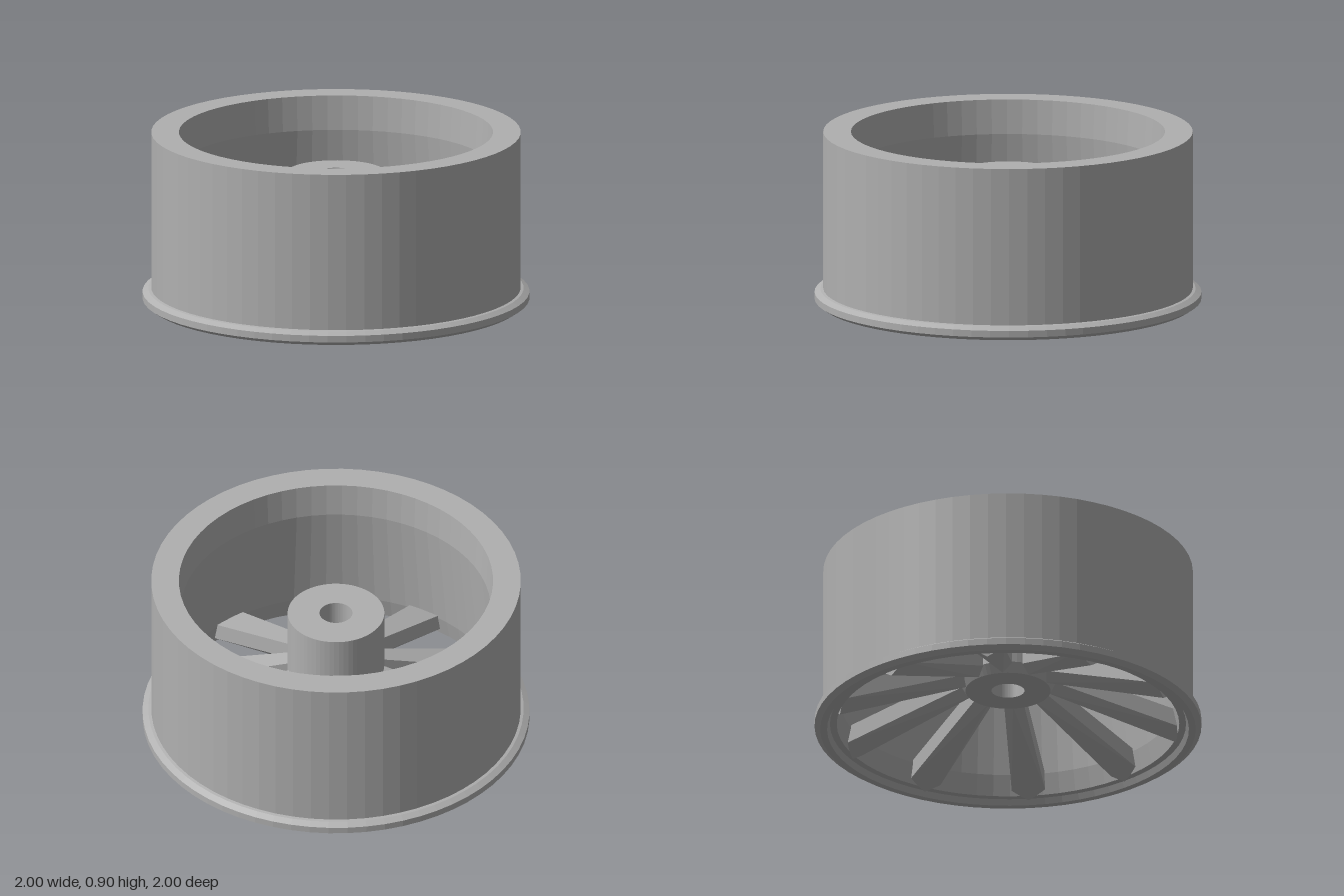
import * as THREE from 'three';
import { ConvexGeometry } from 'three/addons/geometries/ConvexGeometry.js';

const SIDES = 64;
const SPOKES = 10;

// Closed ring turned from an [r, y] profile: up the outside, down the inside
function turned(name, profile, material) {
  const points = [...profile, profile[0]].map(([r, y]) => new THREE.Vector2(r, y));
  const geometry = new THREE.LatheGeometry(points, SIDES).toNonIndexed();
  geometry.computeVertexNormals();
  const mesh = new THREE.Mesh(geometry, material);
  mesh.name = name;
  return mesh;
}

// Five-sided spoke section: flat top, straight sides, ridged underside
function spokeSection(r, top, width) {
  const h = width / 2;
  return [[-h, 0], [h, 0], [h, -0.09], [0, -0.14], [-h, -0.09]]
    .map(([z, y]) => new THREE.Vector3(r, top + y, z));
}

export function createModel() {
  const wheel = new THREE.Group();
  wheel.name = 'wheel';
  const grey = new THREE.MeshStandardMaterial({ color: 0xb0b0b0 });
  grey.name = 'grey';
  grey.flatShading = true;

  // Rim with a bevelled flange at the foot and a waisted inner wall
  wheel.add(turned('rim', [
    [0.97, 0], [1, 0.02], [1, 0.055], [0.97, 0.072], [0.955, 0.075],
    [0.955, 0.9], [0.812, 0.9], [0.8, 0.72], [0.86, 0.14],
    [0.885, 0.03], [0.92, 0.03], [0.935, 0],
  ], grey));

  // Hub with a through bore and a chamfered underside
  wheel.add(turned('hub', [
    [0.22, 0.22], [0.25, 0.27], [0.25, 0.69], [0.085, 0.69], [0.085, 0.22],
  ], grey));

  // Spokes widen and slope down towards the rim
  const spokeGeometry = new ConvexGeometry([
    ...spokeSection(0.21, 0.365, 0.097),
    ...spokeSection(0.885, 0.145, 0.175),
  ]);
  for (let i = 0; i < SPOKES; i++) {
    const spoke = new THREE.Mesh(spokeGeometry, grey);
    spoke.name = 'spoke';
    spoke.rotation.y = THREE.MathUtils.degToRad(10.6) + (i / SPOKES) * Math.PI * 2;
    wheel.add(spoke);
  }

  return wheel;
}
